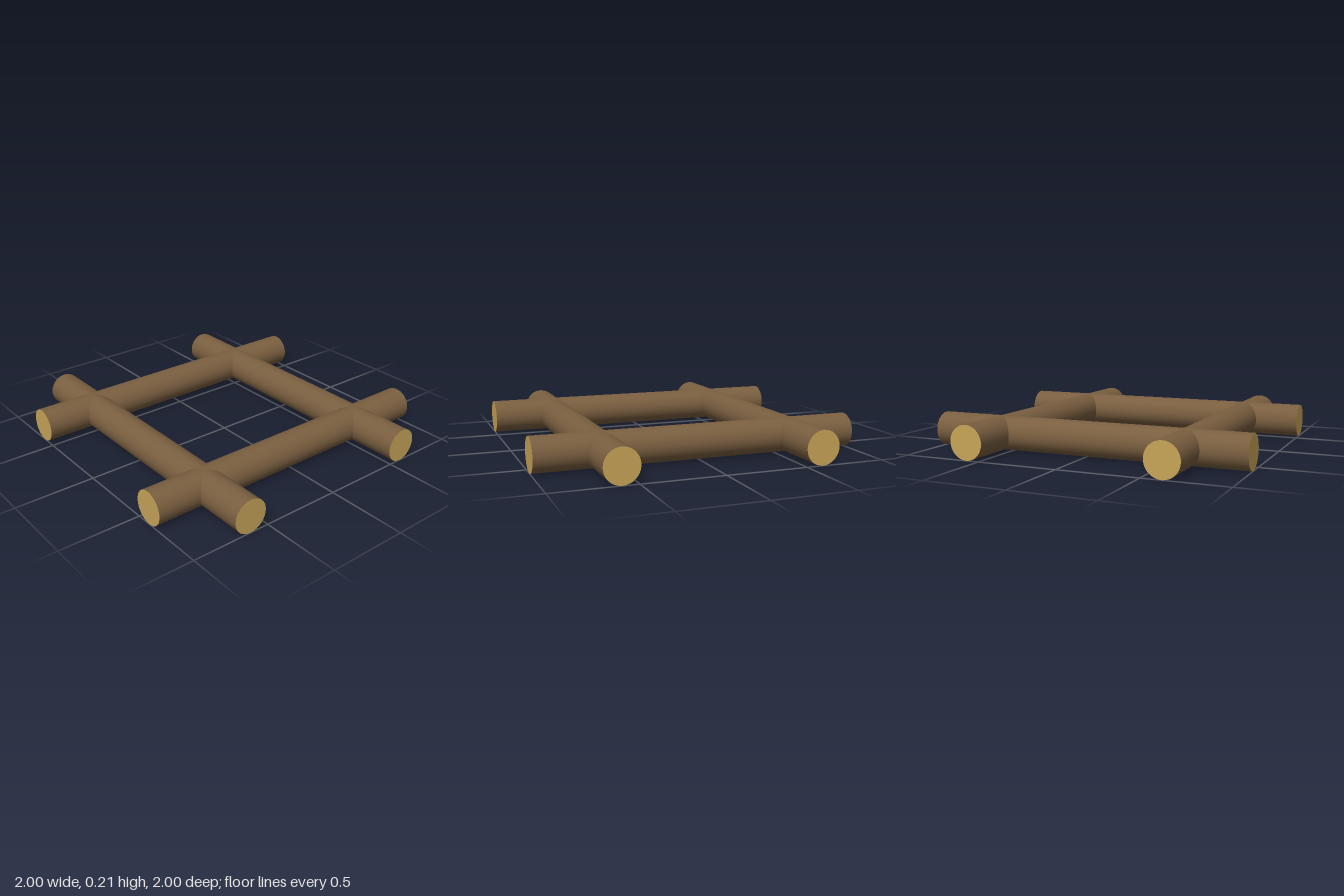
import * as THREE from 'three';

const RADIUS = 0.105;
const LENGTH = 2;

export function createModel() {
  const model = new THREE.Group();
  model.name = 'logFrame';

  const bark = new THREE.MeshStandardMaterial({ color: 0x7a5f40 });
  const cutWood = new THREE.MeshStandardMaterial({ color: 0xc8a458 });

  // One cylinder carries the bark on its side and cut wood on both ends
  const logGeometry = new THREE.CylinderGeometry(RADIUS, RADIUS, LENGTH, 32);

  function addLog(name, x, z, alongX) {
    const log = new THREE.Mesh(logGeometry, [bark, cutWood, cutWood]);
    log.name = name;
    if (alongX) log.rotation.z = Math.PI / 2;
    else log.rotation.x = Math.PI / 2;
    log.position.set(x, RADIUS, z);
    model.add(log);
  }

  // Two logs running front to back
  addLog('leftLog', 0.597, 0, false);
  addLog('rightLog', -0.603, 0, false);

  // Two logs running side to side, crossing the others at the same height
  addLog('frontLog', 0, 0.622, true);
  addLog('backLog', 0, -0.582, true);

  return model;
}
